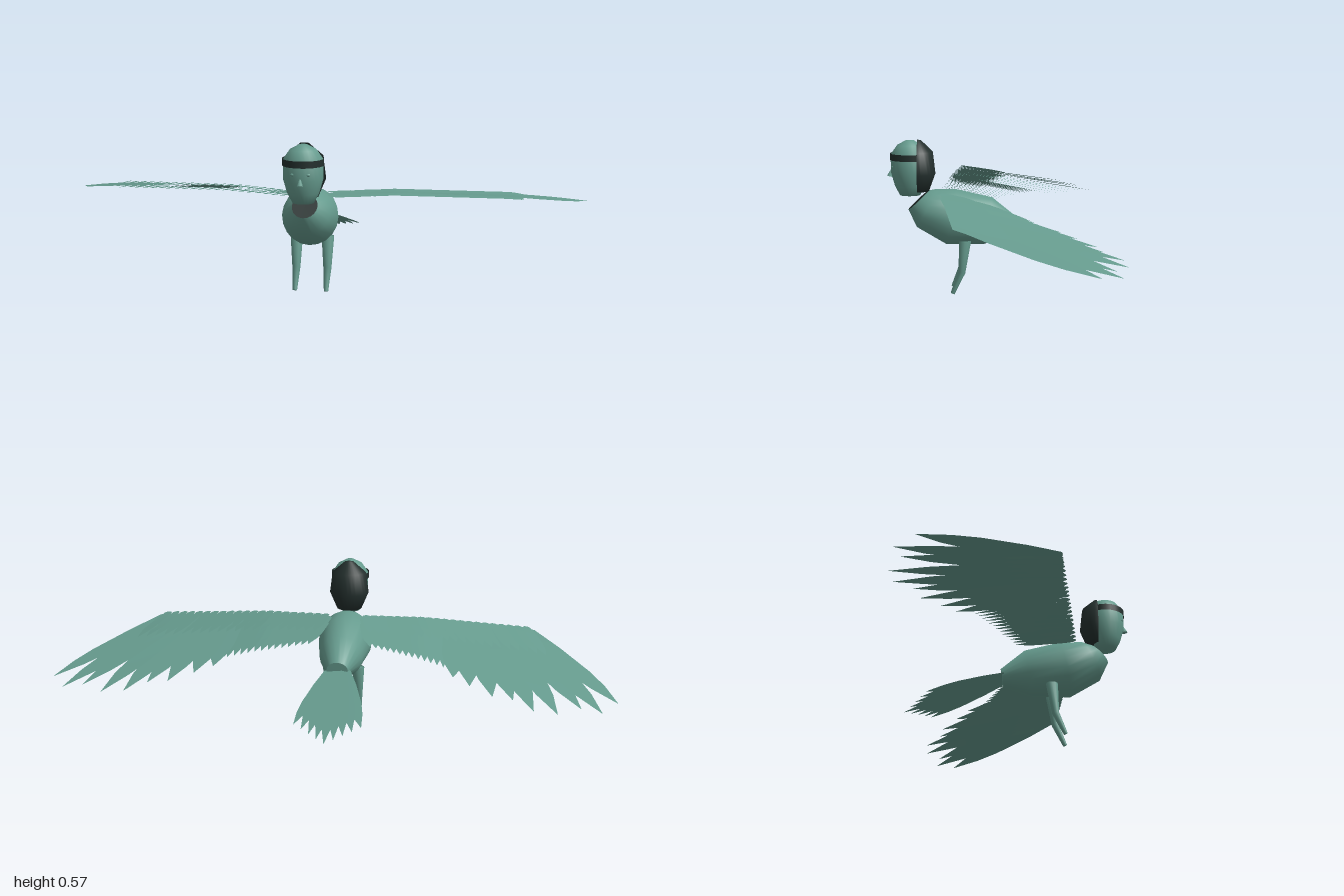
import * as THREE from 'three';
import { mergeGeometries } from 'three/addons/utils/BufferGeometryUtils.js';

const plumage = new THREE.MeshStandardMaterial({ color: 0x669b8e, side: THREE.DoubleSide });
plumage.name = 'teal plumage';
const dark = new THREE.MeshStandardMaterial({ color: 0x232f2d, side: THREE.DoubleSide });
dark.name = 'dark hair';

function part(parent, name, geometry, material, x = 0, y = 0, z = 0) {
  const mesh = new THREE.Mesh(geometry, material);
  mesh.name = name;
  mesh.position.set(x, y, z);
  parent.add(mesh);
  return mesh;
}

function build(pos, idx) {
  const g = new THREE.BufferGeometry();
  g.setAttribute('position', new THREE.Float32BufferAttribute(pos, 3));
  g.setIndex(idx);
  g.computeVertexNormals();
  return g;
}

// Skin over tilted elliptical rings: [z1, y1, z2, y2, halfWidth]
function loft(rings, sides = 20) {
  const pos = [], idx = [];
  rings.forEach(([z1, y1, z2, y2, rx], i) => {
    for (let j = 0; j < sides; j++) {
      const a = (j / sides) * Math.PI * 2, c = Math.cos(a) / 2;
      pos.push(Math.sin(a) * rx, (y1 + y2) / 2 + c * (y1 - y2), (z1 + z2) / 2 + c * (z1 - z2));
      if (i === 0) continue;
      const k = (j + 1) % sides, p = (i - 1) * sides, q = i * sides;
      idx.push(p + j, p + k, q + j, p + k, q + k, q + j);
    }
  });
  return build(pos, idx);
}

// Pointed feather lying on the surface y = height(x, z), tilted so that neighbours overlap like shingles
function feather(base, tip, half, height, lift = 0, tilt = 0.005) {
  const stations = [[0, 0.25], [0.04, 0.75], [0.3, 1], [0.62, 1], [0.8, 0.72], [1, 0.02]];
  const dx = tip[0] - base[0], dz = tip[1] - base[1], len = Math.hypot(dx, dz);
  const pos = [], idx = [];
  stations.forEach(([t, w], i) => {
    for (const s of [-1, 1]) {
      const x = base[0] + dx * t + (s * w * half * dz) / len;
      const z = base[1] + dz * t - (s * w * half * dx) / len;
      pos.push(x, height(x, z) + lift + s * w * tilt, z);
    }
    if (i) {
      const a = 2 * (i - 1);
      idx.push(a, a + 2, a + 1, a + 1, a + 2, a + 3);
    }
  });
  return build(pos, idx);
}

// Wing surface and its leading edge
const wingHeight = (x, z) =>
  0.343 + 0.2 * z - 0.02 * Math.max(0, 1 - x / 0.3) - 0.05 * Math.max(0, x - 0.7);
const lead = (x) => [x, 0.222 - 0.1 * x];

function makeWing() {
  const wing = new THREE.Group();

  // Long outer feathers fanning from the wrist
  const tips = [[0.995, -0.29], [0.94, -0.36], [0.87, -0.345], [0.79, -0.39], [0.71, -0.385],
    [0.64, -0.325], [0.57, -0.31], [0.49, -0.25], [0.43, -0.2]];
  const primaries = tips.map((tip, i) =>
    feather(lead(0.675 - i * 0.032), tip, 0.044, wingHeight, 0, 0.006));
  part(wing, 'primaryFeathers', mergeGeometries(primaries), plumage);

  // Shorter inner feathers
  const secondaries = [];
  for (let i = 0; i < 14; i++) {
    const t = i / 13;
    secondaries.push(feather(lead(0.4 - 0.33 * t), [0.415 - 0.3 * t, -0.15 + 0.15 * t], 0.024, wingHeight));
  }
  part(wing, 'secondaryFeathers', mergeGeometries(secondaries), plumage);

  // Small covering feathers along the leading edge, above and below
  for (const [name, lift] of [['upperCoverts', 0.007], ['lowerCoverts', -0.008]]) {
    const coverts = [];
    for (let i = 0; i < 21; i++) {
      const x = 0.08 + i * 0.03, [bx, bz] = lead(x);
      coverts.push(feather([bx, bz + 0.005], [bx + 0.02 + 0.08 * x, bz - 0.12 - 0.1 * x], 0.021, wingHeight, lift));
    }
    part(wing, name, mergeGeometries(coverts), plumage);
  }
  return wing;
}

export function createModel() {
  const model = new THREE.Group();
  const bird = new THREE.Group();
  bird.name = 'bird';
  bird.position.x = 0.006;
  model.add(bird);

  // Body, with a dark neck opening and a closed rump
  const neck = [0.265, 0.38, 0.34, 0.31, 0.045];
  const rump = [-0.058, 0.283, -0.048, 0.218, 0.04];
  part(bird, 'body', loft([neck, [0.235, 0.386, 0.31, 0.245, 0.084], [0.16, 0.385, 0.2, 0.18, 0.102],
    [0.03, 0.355, 0.06, 0.18, 0.08], rump]), plumage);
  part(bird, 'neckOpening', loft([[0.302, 0.345, 0.302, 0.345, 0], neck]), dark);
  part(bird, 'rump', loft([rump, [-0.053, 0.25, -0.053, 0.25, 0]]), plumage);

  // Head
  const head = new THREE.Group();
  head.name = 'head';
  bird.add(head);
  const profile = (pts) => pts.map(([r, y]) => new THREE.Vector2(r, y));
  part(head, 'face', new THREE.LatheGeometry(profile([[0, 0.365], [0.038, 0.365], [0.056, 0.4], [0.07, 0.45],
    [0.07, 0.515], [0.046, 0.55], [0.015, 0.567], [0, 0.567]]), 24), plumage, 0, 0, 0.333);
  part(head, 'headband', new THREE.CylinderGeometry(0.0725, 0.0725, 0.024, 24, 1, true), dark, 0, 0.508, 0.333);
  const hair = part(head, 'hair', new THREE.LatheGeometry(profile([[0, 0.38], [0.042, 0.38], [0.066, 0.445],
    [0.057, 0.525], [0.014, 0.567], [0, 0.569]]), 14, Math.PI / 2, Math.PI), dark, 0, 0, 0.305);
  hair.scale.x = 1.14;

  // Nose and eyes
  const nose = part(head, 'nose', new THREE.ConeGeometry(0.011, 0.034, 8), plumage, 0, 0.451, 0.402);
  nose.rotation.x = -0.25;
  for (const side of [-1, 1]) {
    const eye = part(head, side > 0 ? 'leftEye' : 'rightEye', new THREE.SphereGeometry(0.009, 10, 6),
      plumage, side * 0.026, 0.472, 0.395);
    eye.scale.set(1, 0.6, 0.5);
  }

  // Legs and wings
  for (const side of [-1, 1]) {
    const label = side > 0 ? 'left' : 'right';
    part(bird, label + 'Leg', loft([[0.177, 0.005, 0.177, 0.005, 0], [0.184, 0.008, 0.17, 0.001, 0.008],
      [0.155, 0.088, 0.13, 0.08, 0.015], [0.152, 0.2, 0.108, 0.2, 0.023], [0.13, 0.2, 0.13, 0.2, 0]], 12),
    plumage, side * 0.057);
    const wing = makeWing();
    wing.name = label + 'Wing';
    wing.scale.x = side;
    bird.add(wing);
  }

  // Tail fan
  const tailHeight = (x, z) => 0.25 + 0.375 * (z + 0.05);
  const tail = [];
  for (let i = -4; i <= 4; i++) {
    const tip = [i * 0.03, -0.41 + 0.022 * Math.abs(i)];
    tail.push(feather([i * 0.007, -0.04], tip, 0.024, tailHeight, -0.001 * Math.abs(i), 0.004));
  }
  part(bird, 'tail', mergeGeometries(tail), plumage);
  return model;
}
